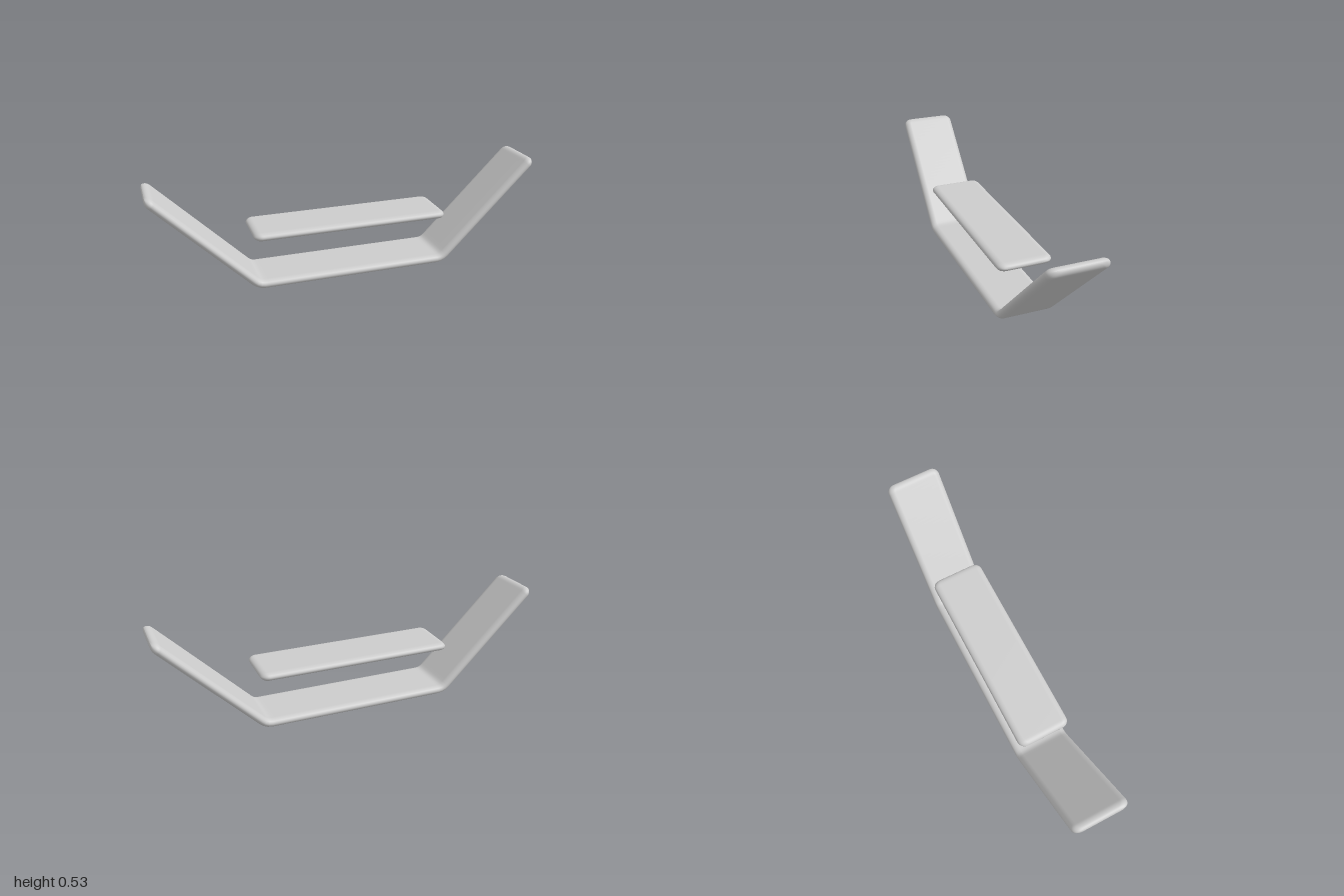
import * as THREE from 'three';

const EDGE = 0.032;   // width of the rounded rim
const CORNER = 0.04;  // plan radius of the four corners

// Soft-edged strip swept along a path in the xy plane, closed at both ends
function softStrip(path, halfWidth, halfThick) {
  const length = path.getLength();
  const stations = [];
  const ease = 10, middle = 120;
  for (let i = 0; i < ease; i++) stations.push(CORNER * (1 - Math.cos((i / ease) * Math.PI / 2)));
  for (let i = 0; i <= middle; i++) stations.push(CORNER + (length - 2 * CORNER) * i / middle);
  for (let i = ease - 1; i >= 0; i--) stations.push(length - stations[i]);

  const half = 10, ring = 2 * (half + 1);
  const positions = [], indices = [];
  stations.forEach((s, i) => {
    const u = Math.min(1, Math.max(0, s / length));
    const p = path.getPoint(u), t = path.getTangent(u);
    const d = Math.max(0, Math.min(s, length - s));
    const c = Math.max(0, 1 - d / CORNER), e = Math.max(0, 1 - d / EDGE);
    const w = halfWidth - CORNER * (1 - Math.sqrt(1 - c * c));
    const h = halfThick * Math.sqrt(1 - e * e);
    for (let j = 0; j < ring; j++) {
      const side = j <= half ? 1 : -1;
      const k = j <= half ? j : j - half - 1;
      const a = -Math.PI / 2 + Math.PI * k / half + (side < 0 ? Math.PI : 0);
      const n = h * Math.sin(a);
      positions.push(p.x - t.y * n, p.y + t.x * n, side * (w - EDGE) + EDGE * Math.cos(a));
      if (i < stations.length - 1) {
        const q = i * ring + j, r = i * ring + (j + 1) % ring;
        indices.push(q, q + ring, r, r, q + ring, r + ring);
      }
    }
  });
  const geometry = new THREE.BufferGeometry();
  geometry.setAttribute('position', new THREE.Float32BufferAttribute(positions, 3));
  geometry.setIndex(indices);
  geometry.computeVertexNormals();
  return geometry;
}

export function createModel() {
  const grey = new THREE.MeshStandardMaterial({ color: 0xcccccc });
  grey.name = 'light grey';
  const model = new THREE.Group();
  model.name = 'bentStripWithPanel';
  const v = (x, y) => new THREE.Vector3(x, y, 0);

  // Flat base with two raised wings, joined by small bends
  const y = 0.0235, kink = 0.492, tipX = 0.995, tipY = 0.527, bend = 0.03;
  const wing = v(tipX - kink, tipY - y).normalize().multiplyScalar(bend);
  const path = new THREE.CurvePath();
  path.add(new THREE.LineCurve3(v(-tipX, tipY), v(-kink - wing.x, y + wing.y)));
  path.add(new THREE.QuadraticBezierCurve3(v(-kink - wing.x, y + wing.y), v(-kink, y), v(-kink + bend, y)));
  path.add(new THREE.LineCurve3(v(-kink + bend, y), v(kink - bend, y)));
  path.add(new THREE.QuadraticBezierCurve3(v(kink - bend, y), v(kink, y), v(kink + wing.x, y + wing.y)));
  path.add(new THREE.LineCurve3(v(kink + wing.x, y + wing.y), v(tipX, tipY)));
  const base = new THREE.Mesh(softStrip(path, 0.145, 0.0225), grey);
  base.name = 'wingedBase';

  // Panel floating above the base
  const panelPath = new THREE.LineCurve3(v(-0.505, 0.272), v(0.505, 0.272));
  const panel = new THREE.Mesh(softStrip(panelPath, 0.138, 0.02), grey);
  panel.name = 'floatingPanel';

  model.add(base, panel);
  return model;
}
